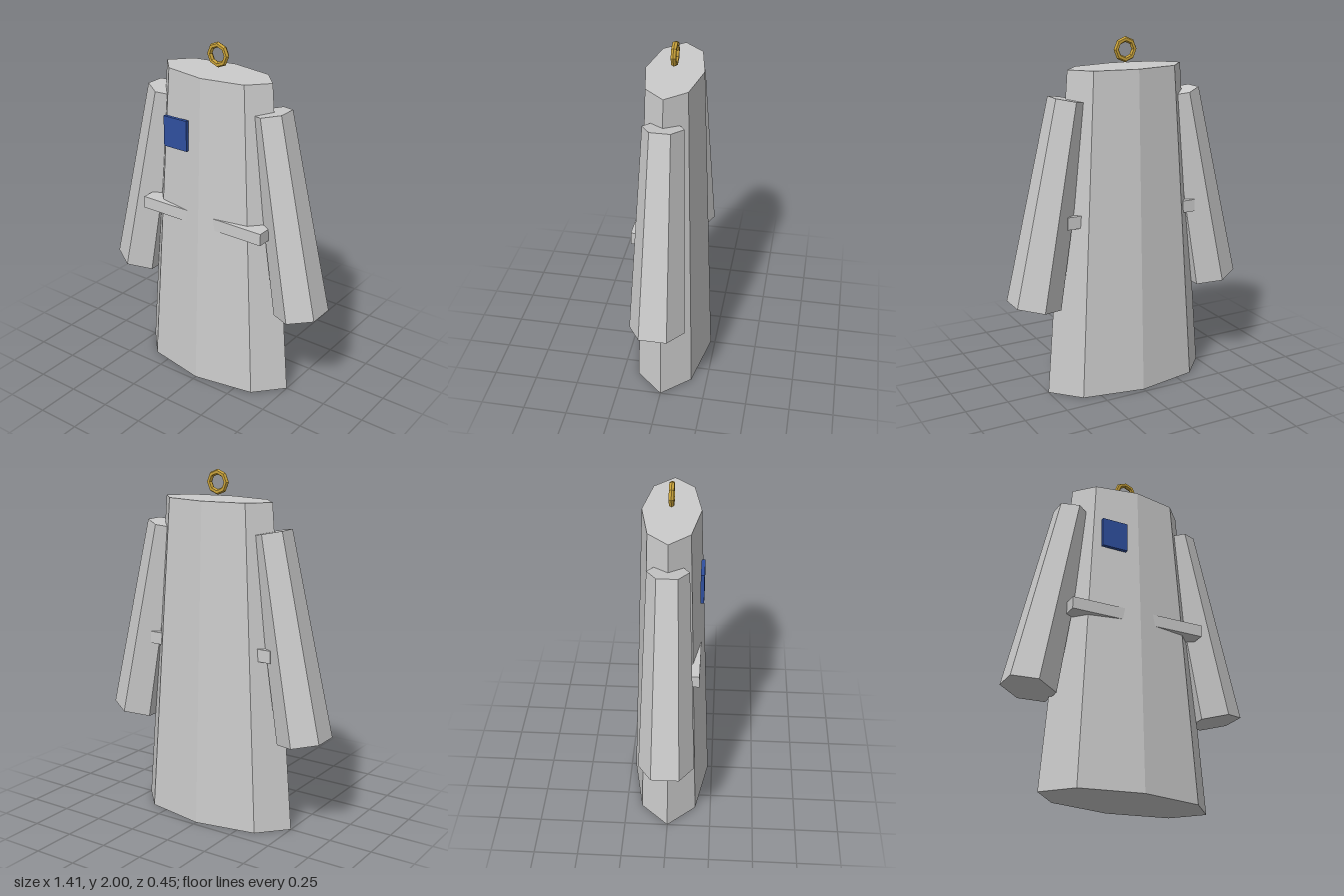
import * as THREE from 'three';

const material = (color) => new THREE.MeshStandardMaterial({ color, flatShading: true });

export function createModel() {
  const group = new THREE.Group();
  const cloth = material(0xcccccc);
  const blue = material(0x2f4f9f);
  const gold = material(0xc9a23a);

  const add = (name, geometry, mat, x, y, z) => {
    const mesh = new THREE.Mesh(geometry, mat);
    mesh.name = name;
    mesh.position.set(x, y, z);
    group.add(mesh);
    return mesh;
  };

  // Flattened, tapered eight-sided body of the coat
  const body = add('coatBody', new THREE.CylinderGeometry(0.35, 0.5, 1.84, 8), cloth, 0, 0.92, 0);
  body.scale.z = 0.45;

  // Flared six-sided sleeves hanging outwards
  for (const side of [-1, 1]) {
    const sleeve = add(side > 0 ? 'leftSleeve' : 'rightSleeve',
      new THREE.CylinderGeometry(0.11, 0.154, 1.158, 6), cloth, side * 0.4625, 1.115, 0);
    sleeve.rotation.z = side * 0.196;
  }

  // Belt running through the waist, its ends showing at both sides
  add('belt', new THREE.BoxGeometry(0.81, 0.07, 0.268), cloth, 0, 1.02, 0.036);

  // Chest pocket
  add('chestPocket', new THREE.BoxGeometry(0.155, 0.175, 0.02), blue, -0.157, 1.503, 0.172);

  // Hanging ring above the collar
  add('hangingRing', new THREE.TorusGeometry(0.055, 0.0155, 6, 8), gold, 0, 1.93, 0);

  return group;
}
